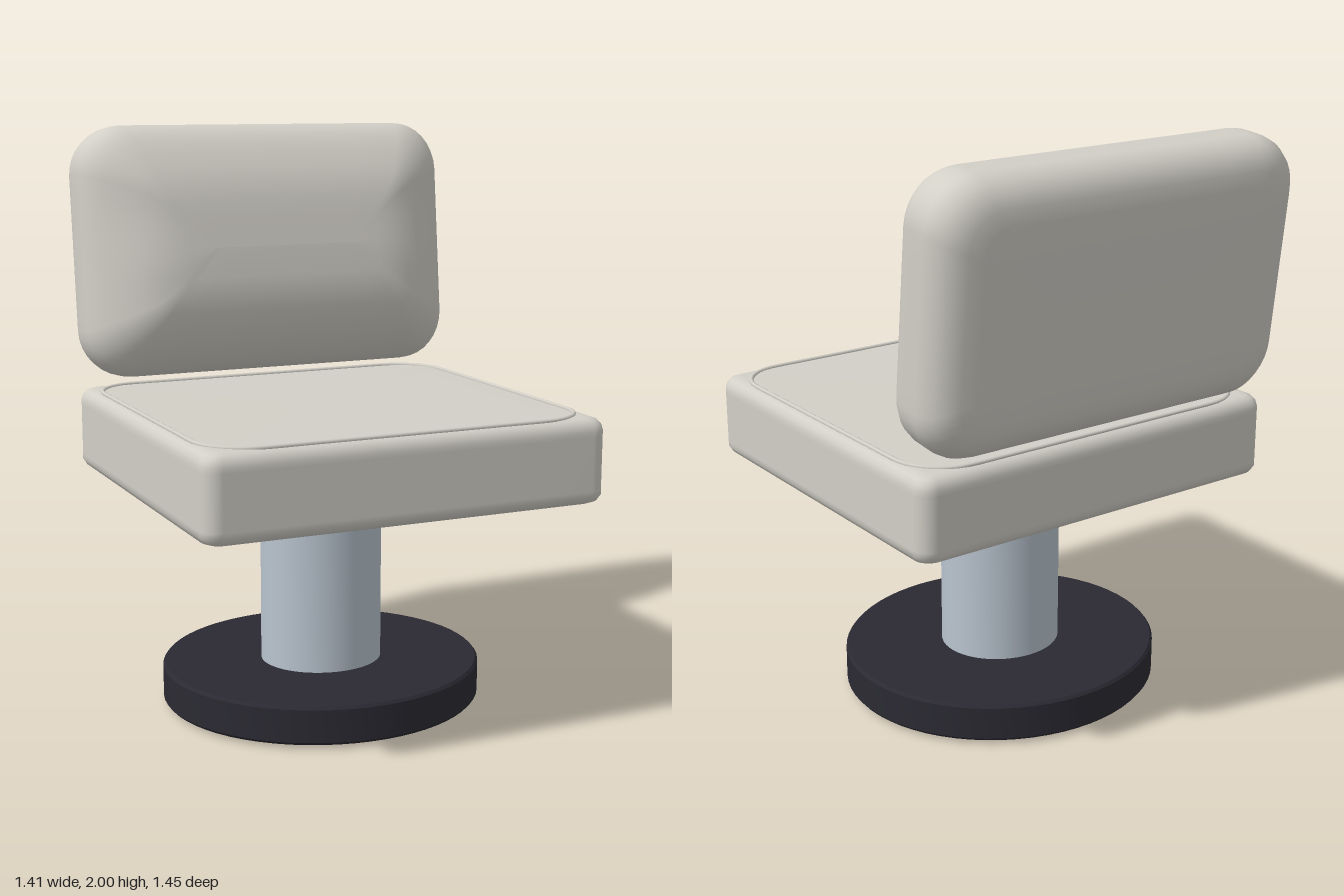
import * as THREE from 'three';
import { toCreasedNormals } from 'three/addons/utils/BufferGeometryUtils.js';

const material = (name, color, extra = {}) => Object.assign(new THREE.MeshStandardMaterial({ color, ...extra }), { name });

// Points of a rounded rectangle, counter-clockwise, always the same count.
function roundedRect(hx, hy, r, arcSteps = 8, edgeSteps = 8) {
  const points = [];
  const corners = [[1, 1], [-1, 1], [-1, -1], [1, -1]];
  corners.forEach(([sx, sy], k) => {
    const cx = sx * (hx - r), cy = sy * (hy - r);
    for (let i = 0; i <= arcSteps; i++) {
      const a = (k + i / arcSteps) * Math.PI / 2;
      points.push(new THREE.Vector2(cx + r * Math.cos(a), cy + r * Math.sin(a)));
    }
    // straight run towards the next corner
    const [nx, ny] = corners[(k + 1) % 4];
    const a = (k + 1) * Math.PI / 2;
    const end = new THREE.Vector2(nx * (hx - r) + r * Math.cos(a), ny * (hy - r) + r * Math.sin(a));
    const start = points[points.length - 1].clone();
    for (let i = 1; i < edgeSteps; i++) points.push(start.clone().lerp(end, i / edgeSteps));
  });
  return points;
}

// Cushion skin through rings of [inset, depth], from the back face to the front.
function cushion(hx, hy, radius, rings, shape = (x, y, z) => z) {
  const position = [], index = [];
  let n = 0;
  rings.forEach(([inset, depth]) => {
    const w = hx - inset, h = hy - inset;
    const r = Math.min(Math.max(radius - inset * 0.6, 0.02), h);
    const loop = roundedRect(w, h, r);
    n = loop.length;
    loop.forEach(p => position.push(p.x, p.y, shape(p.x, p.y, depth)));
  });
  for (let k = 0; k < rings.length - 1; k++) {
    for (let i = 0; i < n; i++) {
      const j = (i + 1) % n;
      const a = k * n + i, b = k * n + j;
      index.push(a, b, b + n, a, b + n, a + n);
    }
  }
  const geometry = new THREE.BufferGeometry();
  geometry.setAttribute('position', new THREE.Float32BufferAttribute(position, 3));
  geometry.setIndex(index);
  geometry.computeVertexNormals();
  return geometry;
}

export function createModel() {
  const group = new THREE.Group();
  const upholstery = material('upholstery', 0xd2cfc7);
  const metal = material('metal', 0xb9c4cf);
  const dark = material('darkBase', 0x2b2a33);

  const add = (name, geometry, mat) => {
    const mesh = new THREE.Mesh(geometry, mat);
    mesh.name = name;
    group.add(mesh);
    return mesh;
  };

  // Turned parts, slightly oval in plan
  const turned = (profile) => toCreasedNormals(
    new THREE.LatheGeometry(profile.map(p => new THREE.Vector2(...p)), 64), 0.5);
  const base = add('base', turned([
    [0, 0.012], [0.985, 0.012], [1, 0.022], [1, 0.135], [0.985, 0.145], [0, 0.145],
  ]), dark);
  base.scale.set(0.565, 1, 0.532);
  const pedestal = add('pedestal', turned([
    [0, 0], [0.94, 0], [1, 0.012], [1, 0.82], [0, 0.82],
  ]), metal);
  pedestal.scale.set(0.215, 1, 0.2);

  // Seat cushion
  const seat = add('seat', cushion(0.705, 0.653, 0.06, [
    [0.653, 0], [0.06, 0], [0.035, 0.002], [0.012, 0.012], [0, 0.032],
    [0, 0.05], [0, 0.23], [0, 0.248],
    [0.005, 0.266], [0.017, 0.281], [0.035, 0.288], [0.06, 0.29], [0.653, 0.29],
  ]), upholstery);
  seat.rotation.x = -Math.PI / 2;
  seat.position.set(0, 0.787, 0.077);

  // Piping around the seat top
  const path = new THREE.CatmullRomCurve3(
    roundedRect(0.665, 0.615, 0.17).map(p => new THREE.Vector3(p.x, 0, p.y)), true);
  add('seatPiping', new THREE.TubeGeometry(path, 160, 0.008, 8, true), upholstery)
    .position.set(0, 1.077, 0.077);

  // Backrest cushion: flat rear, bulging front that is fullest below the middle
  const bulge = (x, y, z) => {
    const fullness = THREE.MathUtils.smoothstep(z, 0.25, 0.38);
    return z - 0.022 * fullness * THREE.MathUtils.smoothstep(y, -0.1, 0.2);
  };
  const backrest = add('backrest', cushion(0.703, 0.445, 0.17, [
    [0.445, 0], [0.25, 0], [0.14, 0.002], [0.09, 0.01], [0.05, 0.026], [0.02, 0.055],
    [0.004, 0.09], [0, 0.12], [0, 0.185], [0.004, 0.215], [0.018, 0.245],
    [0.04, 0.274], [0.07, 0.304], [0.11, 0.336], [0.165, 0.368], [0.22, 0.388],
    [0.28, 0.399], [0.34, 0.402], [0.445, 0.402],
  ], bulge), upholstery);
  backrest.rotation.x = -0.106;
  backrest.position.set(0, 1.54, -0.685);

  return group;
}
